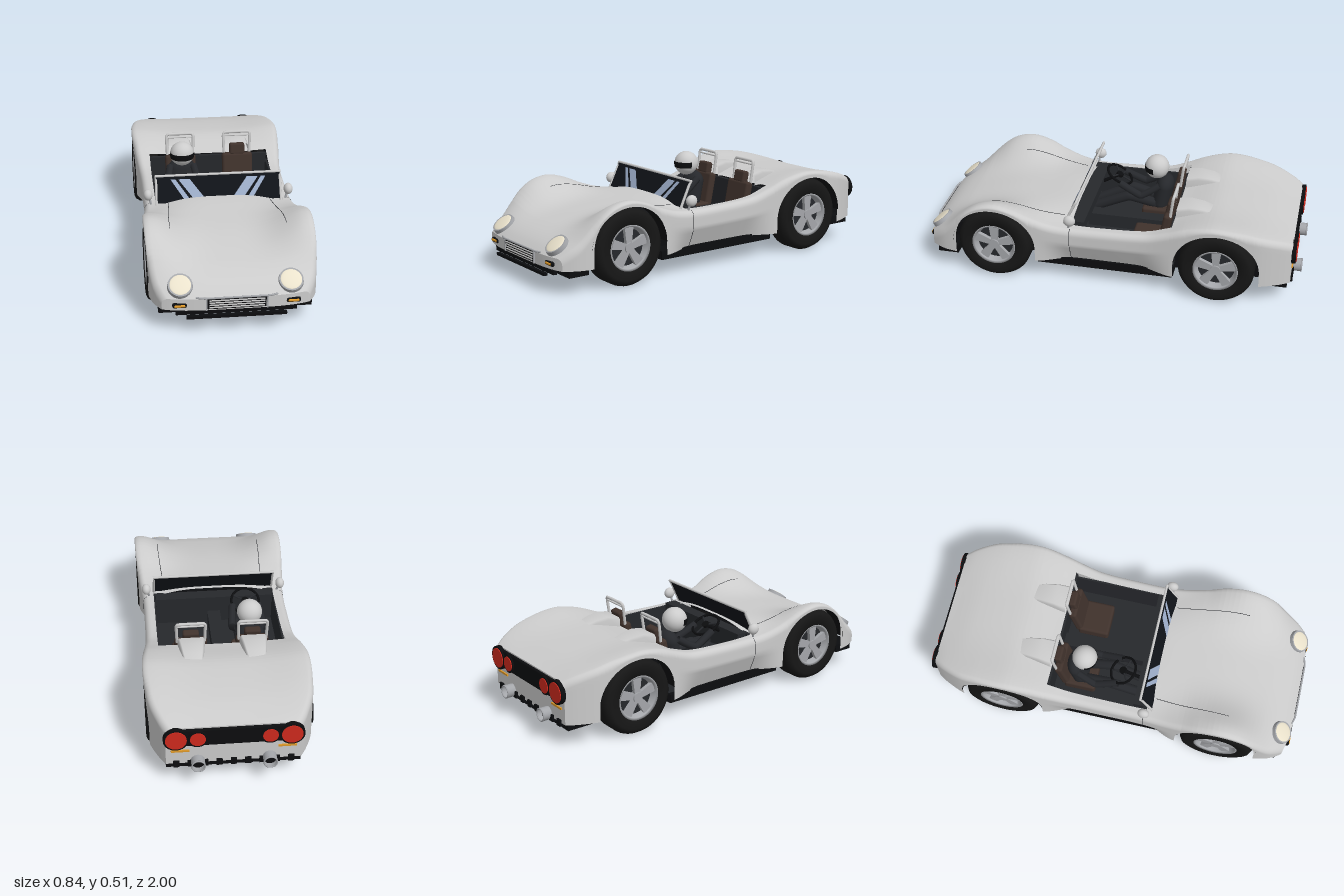
import * as THREE from 'three';
import { RoundedBoxGeometry } from 'three/addons/geometries/RoundedBoxGeometry.js';

const mat = (color) => new THREE.MeshStandardMaterial({ color, side: THREE.DoubleSide });
const silver = mat(0xcccccc), black = mat(0x0c0d0f), dark = mat(0x26282c), brown = mat(0x40322c),
  rubber = mat(0x161616), red = mat(0xd02a1e), amber = mat(0xe09a2a), cream = mat(0xeae2cc),
  glassMat = mat(0x101318), streakMat = mat(0x9fb0cc), metal = mat(0xa4a6aa);

// Smooth lookup through [z, value] points sorted by z
const profile = (p) => (z) => {
  let i = 0;
  while (i < p.length - 2 && z > p[i + 1][0]) i++;
  const slope = (k) => {
    const a = p[Math.max(k - 1, 0)], b = p[Math.min(k + 1, p.length - 1)];
    return (b[1] - a[1]) / (b[0] - a[0]);
  };
  const h = p[i + 1][0] - p[i][0], t = (z - p[i][0]) / h, t2 = t * t, t3 = t2 * t;
  return (2 * t3 - 3 * t2 + 1) * p[i][1] + (t3 - 2 * t2 + t) * h * slope(i)
    + (3 * t2 - 2 * t3) * p[i + 1][1] + (t3 - t2) * h * slope(i + 1);
};
const crest = profile([[-0.95, .345], [-.9, .368], [-.8, .4], [-.7, .423], [-.57, .438], [-.5, .433], [-.4, .408], [-.3, .368],
  [-.2, .337], [0, .324], [.2, .322], [.3, .335], [.4, .367], [.5, .41], [.6, .432], [.7, .41], [.8, .34], [.9, .26], [.96, .215], [.99, .185]]);
const centre = profile([[-0.95, .345], [-.8, .387], [-.6, .412], [-.5, .41], [-.33, .37], [-.1, .33], [.1, .335], [.2, .36],
  [.4, .352], [.6, .332], [.8, .288], [.9, .252], [.96, .215], [.99, .185]]);
const halfWidth = profile([[-0.95, .33], [-.9, .36], [-.8, .4], [-.7, .414], [-.55, .42], [-.4, .412], [-.2, .392], [0, .388],
  [.2, .39], [.4, .41], [.6, .418], [.8, .412], [.9, .4], [.95, .385], [.99, .355]]);
const smooth = THREE.MathUtils.smoothstep;
const axles = [.604, -.572], axleY = .197, archR = .222, archSquash = .93;

const bottom = (z) => {
  for (const c of axles) if (Math.abs(z - c) <= archR + 1e-6) {
    return axleY + archSquash * Math.sqrt(Math.max(0, archR ** 2 - (z - c) ** 2));
  }
  return .125;
};

// Point on the bodywork: |u| 0..1 runs over the top, 1..2 down the side
function bodyPoint(z, u) {
  const s = Math.sign(u), a = Math.abs(u), W = halfWidth(z), H = crest(z), C = centre(z), B = bottom(z);
  const xc = W - .03, d = Math.min(.035, (H - B) * .5);
  let x, y;
  if (a <= 1) {
    x = a * xc;
    y = C + (H - C) * a ** 4 * (5 - 4 * a);
  } else if (a <= 1.3) {
    const q = (a - 1) / .3 * Math.PI / 2;
    x = xc + .03 * Math.sin(q);
    y = H - d * (1 - Math.cos(q));
  } else {
    const t = (a - 1.3) / .7, tuck = .045 * smooth(z, -.35, -.15) * (1 - smooth(z, .2, .38));
    x = W - tuck * Math.max(0, (t - .35) / .65);
    y = H - d + (B - H + d) * t;
  }
  return [s * x, y, z - .05 * (x / .4) ** 4 * smooth(z, .75, .99)];
}

function gridGeometry(rows) {
  const n = rows[0].length, idx = [];
  for (let i = 0; i < rows.length - 1; i++) for (let j = 0; j < n - 1; j++) {
    const a = i * n + j;
    idx.push(a, a + n, a + 1, a + 1, a + n, a + n + 1);
  }
  const g = new THREE.BufferGeometry();
  g.setAttribute('position', new THREE.Float32BufferAttribute(rows.flat(2), 3));
  g.setIndex(idx);
  g.computeVertexNormals();
  return g;
}

const range = (a, b, n) => Array.from({ length: n + 1 }, (_, i) => a + (b - a) * i / n);

// Stations along z, with extra ones that follow the wheel arches
function stations(z0, z1) {
  const zs = range(z0, z1, 30);
  for (const c of axles) {
    for (let k = 0; k <= 24; k++) zs.push(c + archR * Math.cos(Math.PI * k / 24));
    zs.push(c + archR + .001, c - archR - .001);
  }
  return zs.filter((z) => z >= z0 - 1e-6 && z <= z1 + 1e-6).sort((a, b) => a - b);
}

export function createModel() {
  const root = new THREE.Group();
  const add = (name, geo, m, x = 0, y = 0, z = 0, parent = root) => {
    const o = new THREE.Mesh(geo, m);
    o.name = name;
    o.position.set(x, y, z);
    parent.add(o);
    return o;
  };
  const box = (name, m, w, h, d, x, y, z, parent) => add(name, new THREE.BoxGeometry(w, h, d), m, x, y, z, parent);
  const tube = (name, m, pts, r, parent) => add(name, new THREE.TubeGeometry(
    new THREE.CatmullRomCurve3(pts.map((p) => new THREE.Vector3(...p)), false, 'catmullrom', .15), 40, r, 8), m, 0, 0, 0, parent);
  const disc = (name, m, r, d, x, y, z, parent) => add(name, new THREE.CylinderGeometry(r, r, d, 32).rotateX(Math.PI / 2), m, x, y, z, parent);

  // Bodywork: hood, tail and the cockpit sides
  const across = [...range(-2, -1.3, 8), ...range(-1.25, -1, 5), ...range(-.95, .95, 38), ...range(1, 1.25, 5), ...range(1.3, 2, 8)];
  for (const [name, z0, z1, end] of [['hood', .2, .99, .99], ['tail', -.95, -.33, -.95]]) {
    add(name, gridGeometry(stations(z0, z1).map((z) => across.map((u) => bodyPoint(z, u)))), silver);
    const edge = across.map((u) => bodyPoint(end, u)), low = edge.map(([x, , z]) => [x, .125, z]);
    add(name + 'EndFace', gridGeometry(end > 0 ? [edge, low] : [low, edge]), silver);
  }
  const sideU = [...range(0, 1, 6), ...range(1.05, 1.3, 5), ...range(1.35, 2, 13)];
  for (const s of [1, -1]) {
    const rows = stations(-.33, .2).map((z) => {
      const ui = .33 / (halfWidth(z) - .03);
      const row = sideU.map((t) => bodyPoint(z, s * (t < 1 ? ui + (1 - ui) * t : t)));
      return s > 0 ? row : row.reverse();
    });
    add('cockpitSide', gridGeometry(rows), silver);
    box('sill', black, .04, .045, .72, s * .34, .11, .02);
    // Panel seams
    tube('hoodSeam', dark, range(.25, .64, 8).map((z) => bodyPoint(z, s * (.73 + .04 * (z - .25)))), .0015);
    tube('doorSeam', dark, range(1.05, 1.95, 8).map((u) => bodyPoint(.2, s * u)), .0015);
  }

  // Chassis and cockpit tub
  box('floorPan', black, .7, .04, .73, 0, .11, .02);
  box('frontChassis', black, .53, .13, .67, 0, .155, .56);
  box('rearChassis', black, .53, .23, .6, 0, .205, -.63);
  box('chin', black, .74, .045, .11, 0, .112, .875);
  box('tailPan', black, .66, .045, .14, 0, .113, -.865);
  box('cockpitFloor', dark, .66, .02, .53, 0, .135, -.065);
  box('frontBulkhead', dark, .66, .21, .02, 0, .23, .2);
  box('rearBulkhead', dark, .66, .23, .02, 0, .245, -.33);
  box('dashboard', dark, .64, .05, .06, 0, .315, .165);
  box('tunnel', dark, .07, .08, .5, 0, .18, -.07);
  for (const s of [1, -1]) box('tubSide', dark, .01, .19, .53, s * .33, .225, -.065);

  // Wheels and wheel wells
  const tyreProfile = [[.115, -.066], [.165, -.07], [.184, -.062], [.197, -.04], [.197, .04], [.184, .062], [.165, .07], [.115, .066], [.108, .04]]
    .map(([r, h]) => new THREE.Vector2(r, h));
  const rimProfile = [[.095, .03], [.106, .062], [.117, .067], [.117, .05]].map(([r, h]) => new THREE.Vector2(r, h));
  for (const z of axles) for (const s of [1, -1]) {
    const wheel = new THREE.Group();
    wheel.name = 'wheel';
    wheel.position.set(s * .345, axleY, z);
    wheel.rotation.y = s > 0 ? 0 : Math.PI;
    root.add(wheel);
    const lathe = (name, p, m) => add(name, new THREE.LatheGeometry(p, 48).rotateZ(-Math.PI / 2), m, 0, 0, 0, wheel);
    lathe('tyre', tyreProfile, rubber);
    lathe('rim', rimProfile, metal);
    for (const x of [-.05, .02]) disc('wheelBack', dark, .11, .01, x, 0, 0, wheel).rotation.y = Math.PI / 2;
    for (let k = 0; k < 5; k++) {
      const sh = new THREE.Shape([[-.015, .015], [.015, .015], [.026, .106], [-.026, .106]].map((p) => new THREE.Vector2(...p)));
      const g = new THREE.ExtrudeGeometry(sh, { depth: .02, bevelEnabled: false }).rotateY(Math.PI / 2).rotateX(k * Math.PI * .4);
      add('spoke', g, metal, .035, 0, 0, wheel);
    }
    disc('hub', metal, .026, .045, .04, 0, 0, wheel).rotation.y = Math.PI / 2;
    const arc = range(0, Math.PI, 32).map((a) => [archR * Math.cos(a), axleY + archSquash * archR * Math.sin(a)]);
    add('wheelWell', gridGeometry([.33, .41].map((x) => arc.map(([dz, y]) => [s * x, y, z + dz]))), black);
    const wall = new THREE.CircleGeometry(.18, 32, 0, Math.PI).rotateY(Math.PI / 2);
    add('wellWall', wall, black, s * .27, axleY, z);
  }

  // Nose: lamps, indicators, grille and splitter bars
  for (const s of [1, -1]) {
    const lamp = new THREE.Group();
    lamp.name = 'headlight';
    lamp.position.set(s * .265, .234, .935);
    lamp.rotation.x = .65;
    root.add(lamp);
    add('headlightRim', new THREE.CylinderGeometry(.059, .062, .022, 32), metal, 0, 0, 0, lamp);
    add('headlightLens', new THREE.SphereGeometry(.052, 32, 10, 0, Math.PI * 2, 0, Math.PI / 2).scale(1, .14, 1), cream, 0, .01, 0, lamp);
    add('indicatorSurround', new RoundedBoxGeometry(.07, .024, .024, 3, .01), black, s * .272, .153, .978);
    add('indicator', new RoundedBoxGeometry(.054, .014, .03, 3, .006), amber, s * .272, .153, .978);
    box('grillePost', metal, .006, .06, .01, s * .145, .157, .993);
  }
  box('grille', black, .28, .055, .012, 0, .16, .988);
  for (let k = 0; k < 4; k++) box('grilleBar', silver, .265, .005, .008, 0, .142 + k * .012, .995);
  tube('grilleTopBar', metal, [[-.195, .19, .98], [-.15, .19, .993], [.15, .19, .993], [.195, .19, .98]], .005);
  box('splitter', black, .58, .02, .02, 0, .105, .96);
  box('splitterLip', black, .48, .014, .02, 0, .09, .985);

  // Tail: panel, lamps, exhausts and diffuser fins
  add('tailPanel', new RoundedBoxGeometry(.64, .1, .02, 2, .008), black, 0, .288, -.952);
  for (const s of [1, -1]) {
    for (const [x, r] of [[.28, .057], [.175, .043]]) {
      disc('tailLampRim', black, r + .005, .022, s * x, .286, -.958);
      disc('tailLamp', red, r - .005, .012, s * x, .286, -.967);
    }
    box('rearReflector', amber, .09, .01, .01, s * .26, .205, -.952);
    add('exhaustPipe', new THREE.CylinderGeometry(.034, .034, .1, 24, 1, true).rotateX(Math.PI / 2), metal, s * .175, .138, -.948);
    add('exhaustLip', new THREE.TorusGeometry(.032, .004, 8, 24), metal, s * .175, .138, -.996);
    disc('exhaustInside', black, .031, .01, s * .175, .138, -.965);
  }
  for (let k = -4; k <= 4; k++) box('diffuserFin', black, .03, .035, .03, k * .07, .125, -.945);

  // Windshield with frame and light streaks
  const screen = new THREE.Group();
  screen.name = 'windshield';
  screen.position.set(0, .335, .235);
  screen.rotation.x = -.449;
  root.add(screen);
  box('glass', glassMat, .65, .14, .006, 0, .07, 0, screen);
  tube('screenFrame', silver, [[-.328, -.03, 0], [-.325, .134, 0], [-.318, .142, 0], [.318, .142, 0], [.325, .134, 0], [.328, -.03, 0]], .007, screen);
  for (const s of [1, -1]) {
    for (const [a, b, c, d] of [[.25, .225, .155, .185], [.21, .15, .075, .135]]) {
      const sh = new THREE.Shape([[a, .122], [b, .122], [c, .02], [d, .02]].map(([x, y]) => new THREE.Vector2(s * x, y)));
      add('glassStreak', new THREE.ShapeGeometry(sh), streakMat, 0, 0, .005, screen);
    }
    // Door mirrors
    add('mirror', new THREE.SphereGeometry(.03, 20, 12).scale(.8, 1, 1.05), silver, s * .37, .372, .2);
    tube('mirrorStalk', metal, [[s * .355, .32, .21], [s * .362, .35, .205]], .006);
  }

  // Seats, hoops and fairings
  for (const x of [.16, -.16]) {
    add('seatCushion', new RoundedBoxGeometry(.18, .07, .17, 2, .015), brown, x, .19, -.18);
    add('seatBack', new RoundedBoxGeometry(.17, .2, .045, 2, .015), brown, x, .285, -.275).rotation.x = -.2;
    add('headrest', new RoundedBoxGeometry(.085, .065, .04, 2, .012), brown, x, .405, -.298).rotation.x = -.2;
    tube('rollHoop', silver, [[x - .07, .34, -.3], [x - .075, .48, -.318], [x - .065, .496, -.322],
      [x + .065, .496, -.322], [x + .075, .48, -.318], [x + .07, .34, -.3]], .008);
    tube('hoopCrossbar', silver, [[x - .072, .478, -.318], [x + .072, .478, -.318]], .005);
    const rows = [[-.53, .044, .408], [-.47, .055, .425], [-.4, .064, .432], [-.335, .07, .42]].map(([z, w, y]) =>
      [[-w, .36, z], [-w, y - .012, z], [-w * .85, y, z], [w * .85, y, z], [w, y - .012, z], [w, .36, z]]);
    add('headFairing', gridGeometry(rows), silver, x);
  }

  // Driver and steering wheel
  const driver = new THREE.Group();
  driver.name = 'driver';
  driver.position.x = -.16;
  root.add(driver);
  add('helmet', new THREE.SphereGeometry(.066, 32, 20), silver, 0, .445, -.163, driver);
  add('visor', new THREE.SphereGeometry(.0675, 24, 8, Math.PI * .05, Math.PI * .9, 1.4, .5), black, 0, .445, -.163, driver);
  add('torso', new THREE.CapsuleGeometry(.06, .1, 6, 16).scale(1.25, 1, .8), dark, 0, .29, -.2, driver).rotation.x = -.2;
  for (const s of [1, -1]) {
    tube('arm', dark, [[s * .065, .36, -.19], [s * .085, .3, -.09], [s * .07, .355, .03]], .02, driver);
    tube('leg', dark, [[s * .04, .23, -.19], [s * .05, .27, -.02], [s * .04, .18, .17]], .028, driver);
  }
  const steering = add('steeringWheel', new THREE.TorusGeometry(.075, .007, 8, 32), black, 0, .37, .045, driver);
  steering.rotation.x = 1.05;
  disc('steeringHub', black, .02, .015, 0, 0, 0, steering);
  for (let k = 0; k < 3; k++) {
    const a = k * Math.PI * 2 / 3 - Math.PI / 2;
    tube('steeringSpoke', dark, [[0, 0, 0], [.072 * Math.cos(a), .072 * Math.sin(a), 0]], .005, steering);
  }
  tube('steeringColumn', black, [[0, .37, .045], [0, .31, .15]], .01, driver);
  return root;
}
